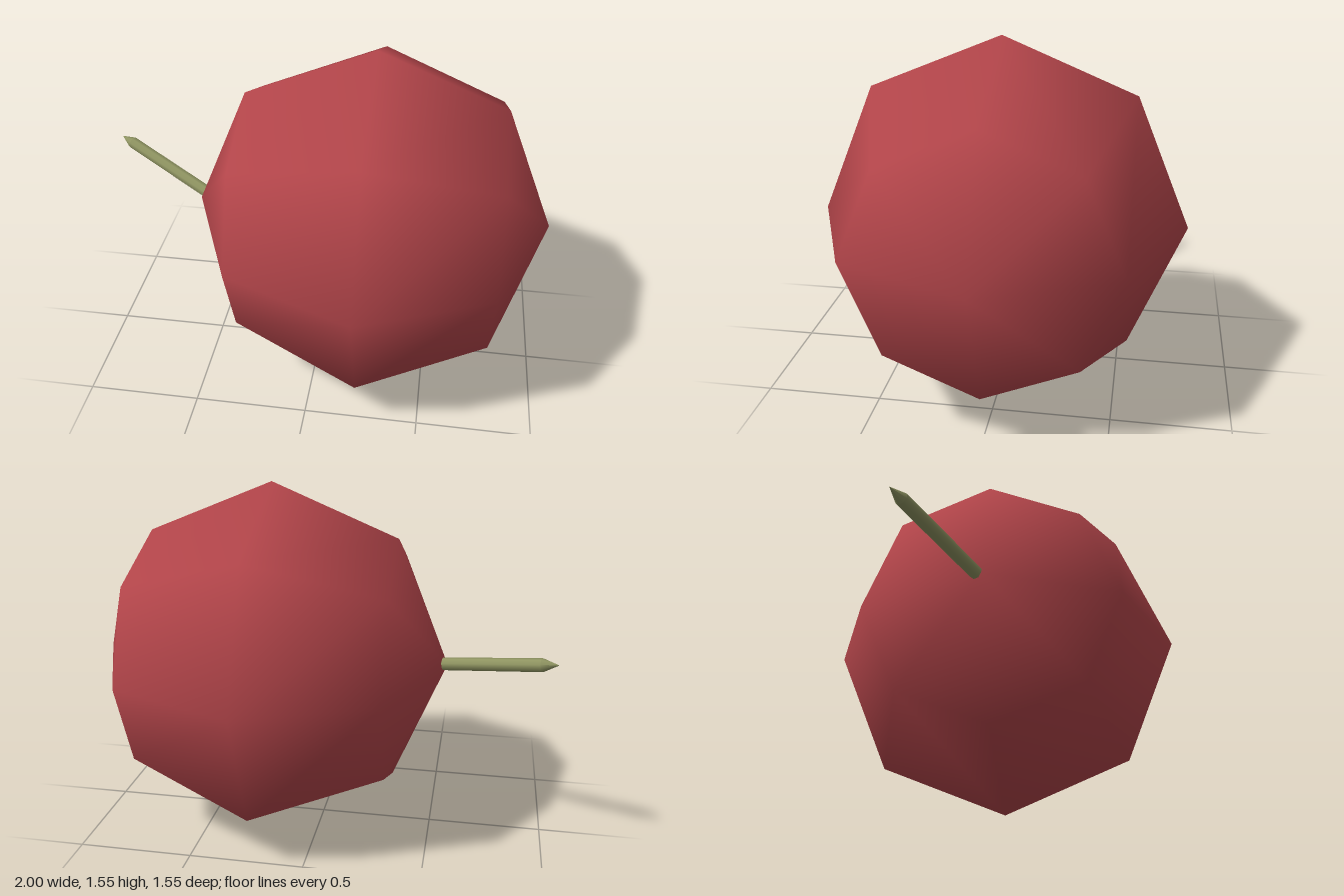
import * as THREE from 'three';

export function createModel() {
  const model = new THREE.Group();
  const red = new THREE.MeshStandardMaterial({ color: 0xb5464b });
  red.name = 'berryRed';
  const olive = new THREE.MeshStandardMaterial({ color: 0x8f9461 });
  olive.name = 'stemOlive';

  // Coarse, smooth-shaded ball with its poles on the x axis
  const berry = new THREE.Mesh(new THREE.SphereGeometry(0.775, 8, 4).rotateZ(Math.PI / 2), red);
  berry.name = 'berry';
  berry.position.set(0.225, 0.775, 0);
  model.add(berry);

  // Thin slanted stem: round shaft with a short pointed tip
  const base = new THREE.Vector3(-0.46, 0.77, 0.01);
  const tip = new THREE.Vector3(-1, 0.9, -0.275);
  const length = base.distanceTo(tip);
  const tipLength = 0.07;
  const radius = 0.028;
  const stem = new THREE.Group();
  stem.name = 'stem';
  stem.position.copy(base);
  stem.quaternion.setFromUnitVectors(
    new THREE.Vector3(0, 1, 0), tip.clone().sub(base).normalize());

  const shaftLength = length - tipLength;
  const shaft = new THREE.Mesh(
    new THREE.CylinderGeometry(radius, radius, shaftLength, 8).translate(0, shaftLength / 2, 0), olive);
  shaft.name = 'stemShaft';
  const point = new THREE.Mesh(
    new THREE.ConeGeometry(radius, tipLength, 8, 1, true).translate(0, length - tipLength / 2, 0), olive);
  point.name = 'stemTip';
  stem.add(shaft, point);
  model.add(stem);

  return model;
}
